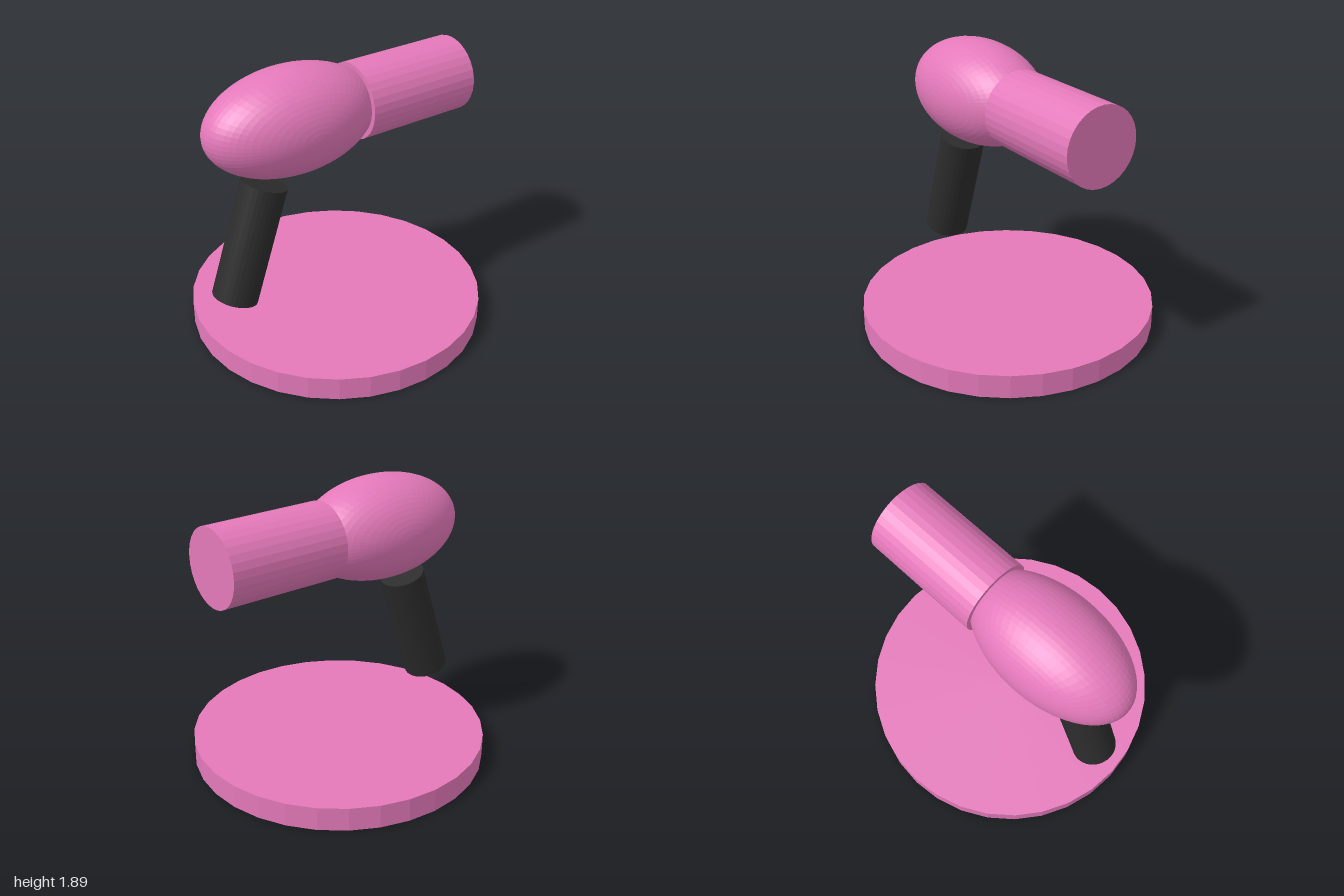
import * as THREE from 'three';

export function createModel() {
  const model = new THREE.Group();
  model.name = 'hairDryer';

  const pink = new THREE.MeshStandardMaterial({ color: 0xe479ba, flatShading: true });
  pink.name = 'pink';
  const black = new THREE.MeshStandardMaterial({ color: 0x2c2c2c, flatShading: true });
  black.name = 'black';

  const add = (name, geometry, material, x, y) => {
    const mesh = new THREE.Mesh(geometry, material);
    mesh.name = name;
    mesh.position.set(x, y, 0);
    model.add(mesh);
    return mesh;
  };

  // Round display base
  add('base', new THREE.CylinderGeometry(1, 1, 0.16, 32), pink, 0, 0.08);

  // Egg-shaped motor housing, poles facing front and back
  const housing = new THREE.SphereGeometry(1, 64, 32).rotateX(Math.PI / 2).scale(0.6, 0.345, 0.345);
  add('housing', housing, pink, -0.34, 1.55);

  // Barrel pointing to the side
  const barrel = new THREE.CylinderGeometry(0.255, 0.255, 0.82, 32).rotateZ(-Math.PI / 2);
  add('barrel', barrel, pink, 0.53, 1.55);

  // Slanted grip, floating between housing and base
  const handle = add('handle', new THREE.CylinderGeometry(0.153, 0.153, 0.81, 32), black, -0.674, 0.78);
  handle.rotation.z = -0.32;

  return model;
}
